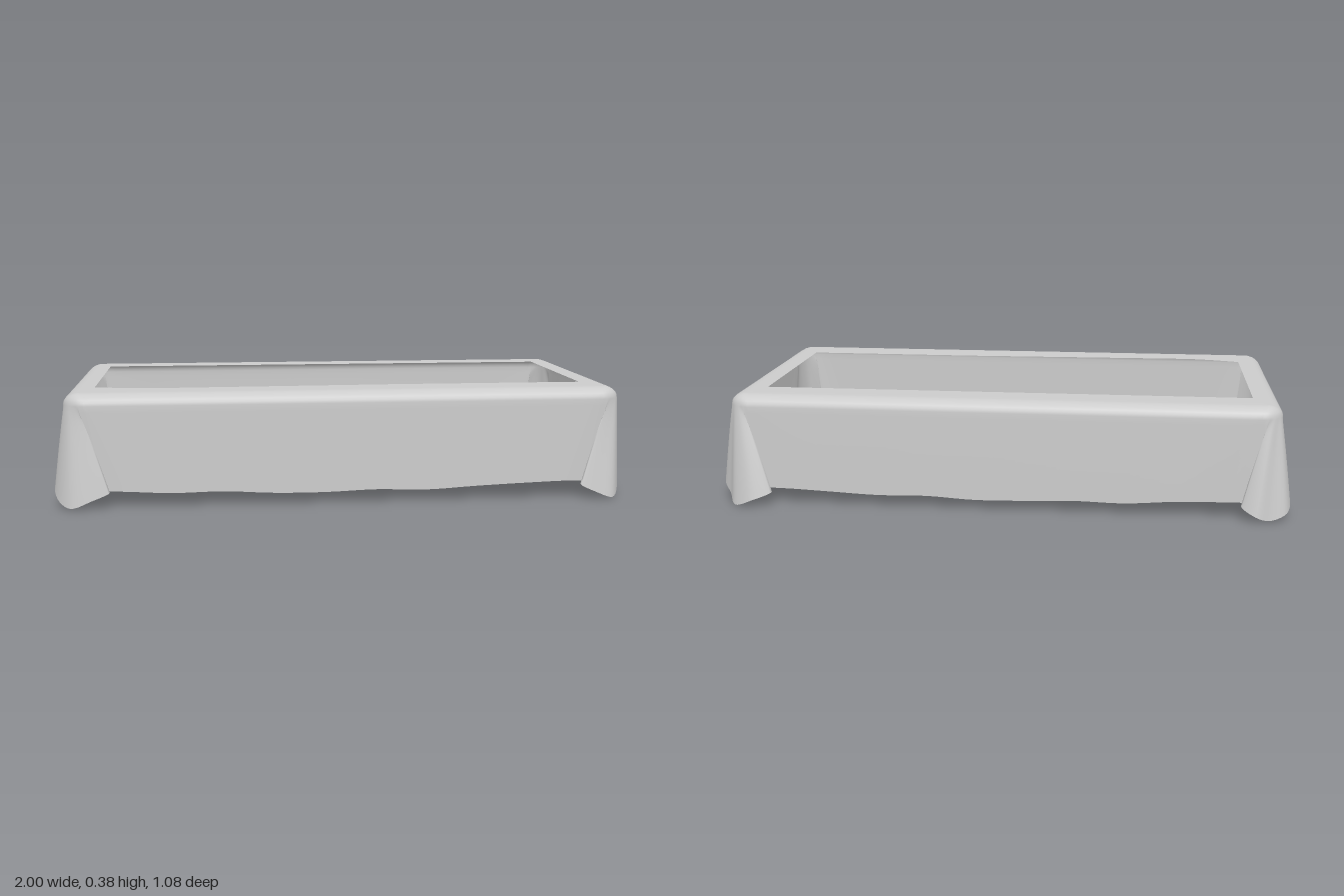
import * as THREE from 'three';

const TOP = 0.39, ROLL = 0.04;
const X0 = -0.965, X1 = 0.955, Z0 = -0.48, Z1 = 0.495, R = 0.075;
const { clamp, lerp } = THREE.MathUtils;

// Hem outline at each corner [x, z, y]; the cloth doubles back into pleats.
const corners = [
  { cx: X1 - R, cz: Z1 - R, a: Math.PI / 2, hem: [ // front, +x
    [0.79, 0.497, 0.065], [0.88, 0.494, 0.06], [0.805, 0.522, 0.058], [0.86, 0.532, 0.03],
    [0.92, 0.527, 0.01], [0.955, 0.47, 0.035], [0.97, 0.4, 0.05], [0.955, 0.34, 0.06]] },
  { cx: X1 - R, cz: Z0 + R, a: 0, hem: [ // back, +x
    [0.952, -0.33, 0.06], [0.955, -0.42, 0.07], [0.98, -0.365, 0.07], [1.0, -0.405, 0.06],
    [0.96, -0.47, 0.03], [0.93, -0.52, 0.005], [0.86, -0.543, 0.03], [0.795, -0.515, 0.055],
    [0.86, -0.488, 0.06], [0.77, -0.485, 0.06]] },
  { cx: X0 + R, cz: Z0 + R, a: -Math.PI / 2, hem: [ // back, -x
    [-0.78, -0.485, 0.06], [-0.89, -0.487, 0.06], [-0.83, -0.505, 0.055], [-0.88, -0.535, 0.025],
    [-0.93, -0.517, 0.01], [-0.985, -0.495, 0.03], [-1.0, -0.42, 0.06], [-0.972, -0.39, 0.06],
    [-0.965, -0.34, 0.06]] },
  { cx: X0 + R, cz: Z1 - R, a: -Math.PI, hem: [ // front, -x
    [-0.965, 0.35, 0.05], [-0.972, 0.4, 0.05], [-1.0, 0.43, 0.065], [-0.985, 0.48, 0.03],
    [-0.94, 0.522, 0.01], [-0.87, 0.527, 0.035], [-0.81, 0.513, 0.06], [-0.88, 0.493, 0.06],
    [-0.78, 0.497, 0.06]] },
];

// Matching control points for the upper rim and the hem, once around.
function outlines() {
  const rim = [], hem = [];
  corners.forEach((c, k) => {
    const n = c.hem.length;
    c.hem.forEach(([x, z, y], i) => {
      const a = c.a - (i / (n - 1)) * Math.PI / 2;
      rim.push(new THREE.Vector3(c.cx + R * Math.cos(a), TOP - ROLL, c.cz + R * Math.sin(a)));
      hem.push(new THREE.Vector3(x, y, z));
    });
    // straight panel to the next corner, with a gently waving hem
    const next = corners[(k + 1) % 4];
    const rimA = rim[rim.length - 1], hemA = hem[hem.length - 1];
    const [hx, hz, hy] = next.hem[0];
    const rimB = new THREE.Vector3(next.cx + R * Math.cos(next.a), TOP - ROLL, next.cz + R * Math.sin(next.a));
    const hemB = new THREE.Vector3(hx, hy, hz);
    const steps = k % 2 ? 9 : 6;
    for (let i = 1; i < steps; i++) {
      const f = i / steps;
      rim.push(rimA.clone().lerp(rimB, f));
      const p = hemA.clone().lerp(hemB, f);
      p.y += -0.018 * Math.sin(Math.PI * f) + 0.004 * Math.sin(i * 2.3 + k);
      hem.push(p);
    }
  });
  const curve = (pts) => new THREE.CatmullRomCurve3(pts, true, 'centripetal');
  return { rim: curve(rim), hem: curve(hem), count: rim.length };
}

// Edge of the opening: a rectangle whose front side sags a little.
function holePoint(p) {
  const x = clamp(p.x, -0.87, 0.85);
  const front = x > 0.2 ? 0.325
    : x > -0.65 ? lerp(0.348, 0.325, (x + 0.65) / 0.85)
    : lerp(0.305, 0.348, Math.sin((x + 0.87) / 0.22 * Math.PI / 2));
  return new THREE.Vector3(x, TOP, clamp(p.z, -0.328, front));
}

// Stitch rings of points into one closed band.
function band(rings) {
  const n = rings[0].length, pos = [], index = [];
  rings.forEach((ring) => ring.forEach((p) => pos.push(p.x, p.y, p.z)));
  for (let j = 0; j < rings.length - 1; j++) {
    for (let i = 0; i < n; i++) {
      const a = j * n + i, b = j * n + (i + 1) % n, c = a + n, d = b + n;
      index.push(a, c, b, b, c, d);
    }
  }
  const g = new THREE.BufferGeometry();
  g.setAttribute('position', new THREE.Float32BufferAttribute(pos, 3));
  g.setIndex(index);
  g.computeVertexNormals();
  return g;
}

export function createModel() {
  const group = new THREE.Group();
  group.name = 'drapedCloth';
  const material = new THREE.MeshStandardMaterial({ color: 0xcccccc, side: THREE.DoubleSide });

  const { rim, hem, count } = outlines();
  const n = count * 5;
  const sample = (c) => Array.from({ length: n }, (_, i) => c.getPoint(i / n));
  const outer = sample(rim), low = sample(hem);
  const inset = outer.map((p) => new THREE.Vector3(
    clamp(p.x, X0 + 0.055, X1 - 0.055), TOP, clamp(p.z, Z0 + 0.055, Z1 - 0.055)));
  const hole = outer.map(holePoint);

  const rings = [hole, hole.map((p, i) => p.clone().lerp(inset[i], 0.5)), inset];
  // rounded upper edge
  for (let j = 1; j <= 6; j++) {
    const a = (j / 6) * Math.PI / 2;
    rings.push(outer.map((p, i) => {
      const q = inset[i].clone().lerp(p, Math.sin(a));
      q.y = TOP - ROLL * (1 - Math.cos(a));
      return q;
    }));
  }
  // hanging skirt, flaring into the corner pleats
  const rows = 14;
  for (let j = 1; j <= rows; j++) {
    const t = j / rows, f = Math.pow(t, 0.85);
    rings.push(outer.map((p, i) => {
      const q = p.clone().lerp(low[i], f);
      q.y = lerp(p.y, low[i].y, t);
      return q;
    }));
  }

  const cloth = new THREE.Mesh(band(rings), material);
  cloth.name = 'clothSkirtAndBorder';
  group.add(cloth);
  return group;
}
